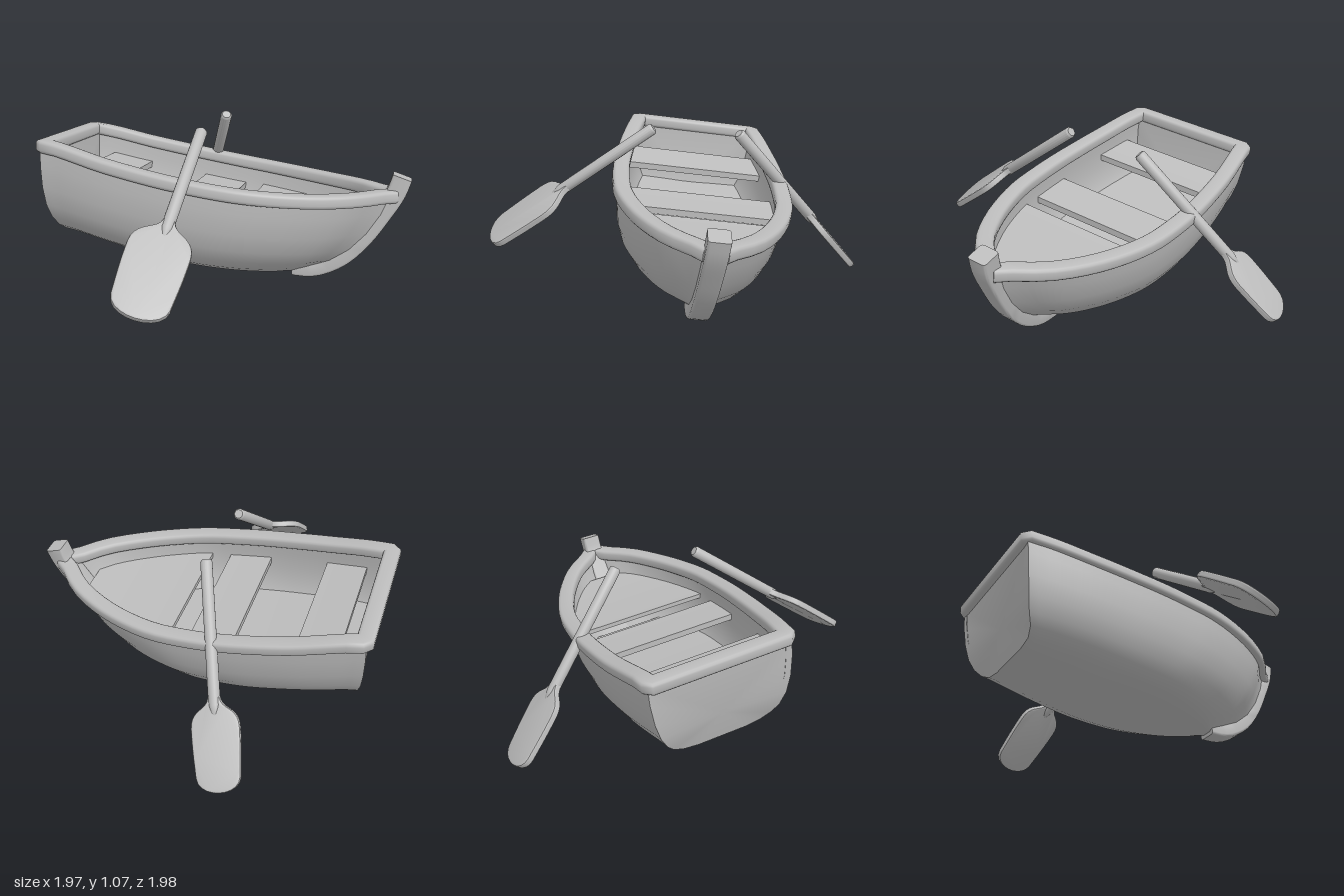
import * as THREE from 'three';
import { toCreasedNormals } from 'three/addons/utils/BufferGeometryUtils.js';

const V = (x, y, z) => new THREE.Vector3(x, y, z);

// Smooth function through evenly spaced values, for t in 0..1
function spline(values) {
  const c = new THREE.SplineCurve(values.map((v, i) => new THREE.Vector2(i, v)));
  return (t) => c.getPoint(t).y;
}

// Skin over closed rings (counter-clockwise seen against the direction of travel)
function loft(rings, capped = true) {
  const n = rings[0].length, pts = rings.flat(), idx = [];
  for (let i = 0; i < rings.length - 1; i++) {
    for (let j = 0; j < n; j++) {
      const a = i * n + j, b = i * n + (j + 1) % n;
      idx.push(a, b, b + n, a, b + n, a + n);
    }
  }
  if (capped) {
    [0, rings.length - 1].forEach((r, end) => {
      const mid = V(0, 0, 0);
      rings[r].forEach((p) => mid.addScaledVector(p, 1 / n));
      const m = pts.push(mid) - 1;
      for (let j = 0; j < n; j++) {
        const a = r * n + j, b = r * n + (j + 1) % n;
        if (end) idx.push(m, a, b); else idx.push(m, b, a);
      }
    });
  }
  const g = new THREE.BufferGeometry().setFromPoints(pts);
  g.setIndex(idx);
  return toCreasedNormals(g, 0.9);
}

// Counter-clockwise rounded rectangle as [a, b] pairs
function roundRect(hw, hh, r) {
  const out = [];
  [[1, 1], [-1, 1], [-1, -1], [1, -1]].forEach(([sx, sy], q) => {
    for (let k = 0; k <= 3; k++) {
      const a = (q + k / 3) * Math.PI / 2;
      out.push([sx * (hw - r) + r * Math.cos(a), sy * (hh - r) + r * Math.sin(a)]);
    }
  });
  return out;
}

// Hull lines: t runs stern to bow, s runs keel to gunwale
const rimTop = spline([0.897, 0.82, 0.758, 0.715, 0.695, 0.70]);
const half = spline([0.435, 0.468, 0.497, 0.515, 0.525, 0.52, 0.5, 0.445, 0.36, 0.235, 0.045]);
const keel = spline([0.29, 0.245, 0.192, 0.157, 0.132, 0.12]);
const sternZ = spline([-0.78, -0.835, -0.86, -0.87, -0.875, -0.875]);
const bowZ = spline([0.70, 0.93, 1.06, 1.14, 1.20, 1.24]);
const section = [[0, 0], [0.35, 0], [0.57, 0.025], [0.72, 0.09], [0.82, 0.19],
  [0.91, 0.34], [0.97, 0.54], [1, 0.78], [1, 1]];
const zAt = (t, s) => sternZ(s) + t * (bowZ(s) - sternZ(s));
const yAt = (t, s, lift = 0) => {
  const k = keel(t) + lift;
  return k + s * (rimTop(t) - 0.03 - k);
};
function widthFraction(s) {
  const i = Math.max(1, section.findIndex((p) => p[1] >= s));
  const [f0, s0] = section[i - 1], [f1, s1] = section[i];
  return f0 + (f1 - f0) * (s - s0) / (s1 - s0);
}
// One side-to-side section, left gunwale over the keel to the other gunwale
function hullLine(t, wall) {
  const w = Math.max(0.006, half(t) - wall);
  const side = (m) => section.map(([f, s]) => V(m * f * w, yAt(t, s, wall), zAt(t, s)));
  return [...side(-1).reverse(), ...side(1).slice(1)];
}

// Plank fitted between the hull sides
function plank(t0, t1, s, thick) {
  const rings = [];
  for (let i = 0; i <= 12; i++) {
    const t = t0 + (t1 - t0) * i / 12, y = yAt(t, s), z = zAt(t, s);
    const w = Math.max(0.01, half(t) * widthFraction(s) - 0.035);
    rings.push([V(-w, y - thick, z), V(w, y - thick, z), V(w, y, z), V(-w, y, z)]);
  }
  return loft(rings);
}

function rimGeometry() {
  const path = [], N = 26;
  for (let i = 0; i <= N; i++) {
    const t = 1 - i / N;
    path.push(V(half(t) - 0.02, rimTop(t) - 0.038, -0.84 + 2.075 * t));
  }
  path.push(V(half(0) - 0.04, rimTop(0) - 0.038, -0.86)); // clipped stern corner
  path.push(...path.map((p) => V(-p.x, p.y, p.z)).reverse());
  const profile = roundRect(0.052, 0.039, 0.022), up = V(0, 1, 0);
  const flat = (a, b) => b.clone().sub(a).setY(0).normalize();
  return loft(path.map((p, i) => {
    const before = flat(path[Math.max(0, i - 1)], path[Math.max(1, i)]);
    const after = i < path.length - 1 ? flat(p, path[i + 1]) : before;
    const dir = before.clone().add(after).normalize();
    const across = up.clone().cross(dir).divideScalar(dir.dot(after)); // mitred corners
    return profile.map(([a, b]) => p.clone().addScaledVector(across, a).addScaledVector(up, b));
  }));
}

function stemGeometry() {
  const curve = new THREE.CatmullRomCurve3([[0.155, 0.66], [0.162, 0.79], [0.24, 0.945],
    [0.38, 1.075], [0.54, 1.175], [0.68, 1.25], [0.78, 1.28]].map(([y, z]) => V(0, y, z)));
  const profile = roundRect(0.06, 0.058, 0.016), x = V(1, 0, 0), rings = [];
  for (let i = 0; i <= 20; i++) {
    const p = curve.getPoint(i / 20), b = curve.getTangent(i / 20).cross(x);
    rings.push(profile.map(([u, v]) => p.clone().addScaledVector(x, u).addScaledVector(b, v)));
  }
  return loft(rings);
}

// Oar from the grip along a direction; across is the blade's width direction
function makeOar(name, grip, neck, across, bladeHalf, bladeLength, material) {
  const oar = new THREE.Group();
  oar.name = name;
  const dir = neck.clone().sub(grip), length = dir.length();
  dir.normalize();
  const x = across.clone().addScaledVector(dir, -across.dot(dir)).normalize();
  oar.quaternion.setFromRotationMatrix(
    new THREE.Matrix4().makeBasis(x, dir, x.clone().cross(dir)));
  oar.position.copy(grip);

  const r = 0.036;
  const profile = [[0, 0], [r * 0.75, 0], [r, 0.012], [r, length], [r * 0.6, length + 0.06], [0, length + 0.08]];
  const shaft = new THREE.Mesh(toCreasedNormals(new THREE.LatheGeometry(
    profile.map(([a, b]) => new THREE.Vector2(a, b)), 16), 0.7), material);
  shaft.name = 'oarShaft';

  const w = bladeHalf - 0.012, l = bladeLength - 0.012;
  const shape = new THREE.Shape();
  shape.moveTo(-0.025, -0.04);
  shape.lineTo(0.025, -0.04);
  shape.bezierCurveTo(0.04, 0.04, w, 0.02, w, l * 0.27);
  shape.bezierCurveTo(w, l * 0.5, w * 0.95, l * 0.65, w * 0.9, l * 0.84);
  shape.bezierCurveTo(w * 0.82, l * 1.05, -w * 0.82, l * 1.05, -w * 0.9, l * 0.84);
  shape.bezierCurveTo(-w * 0.95, l * 0.65, -w, l * 0.5, -w, l * 0.27);
  shape.bezierCurveTo(-w, 0.02, -0.04, 0.04, -0.025, -0.04);
  const g = new THREE.ExtrudeGeometry(shape, { depth: 0.02, curveSegments: 10,
    bevelThickness: 0.012, bevelSize: 0.012, bevelSegments: 2 });
  g.translate(0, length, -0.01);
  const blade = new THREE.Mesh(toCreasedNormals(g, 0.7), material);
  blade.name = 'oarBlade';
  oar.add(shaft, blade);
  return oar;
}

export function createModel() {
  const grey = new THREE.MeshStandardMaterial({ color: 0xbcbcbc });
  grey.name = 'lightGrey';
  const model = new THREE.Group();
  model.name = 'rowingBoat';

  // Boat, turned towards a front corner and heeled to one side
  const boat = new THREE.Group();
  boat.name = 'boat';
  boat.rotation.set(0, 0.77, -0.132, 'YXZ');
  boat.position.set(-0.053, 0, 0.053);
  const add = (name, geometry) => {
    const mesh = new THREE.Mesh(geometry, grey);
    mesh.name = name;
    boat.add(mesh);
  };
  const shell = [];
  for (let i = 0; i <= 32; i++) {
    const t = i / 32;
    shell.push([...hullLine(t, 0), ...hullLine(t, 0.04).reverse()]);
  }
  add('hull', loft(shell, false));
  add('transom', loft([hullLine(0, 0), hullLine(0.025, 0.01)]));
  add('rim', rimGeometry());
  add('stem', stemGeometry());
  add('floor', plank(0.02, 0.82, 0.3, 0.03));
  add('sternBench', plank(0.08, 0.21, 0.74, 0.04));
  add('middleSeat', plank(0.4, 0.54, 0.73, 0.04));
  add('bowDeck', plank(0.6, 0.94, 0.75, 0.03));
  model.add(boat);

  // Oars
  model.add(makeOar('rightOar', V(-0.115, 1.055, 0.275), V(-0.56, 0.66, 0.65),
    V(0.754, -0.24, 0.611), 0.178, 0.56, grey));
  model.add(makeOar('leftOar', V(0.275, 1.02, -0.065), V(0.49, 0.39, -0.59),
    V(0.225, -0.06, 0.14), 0.145, 0.5, grey));
  return model;
}
